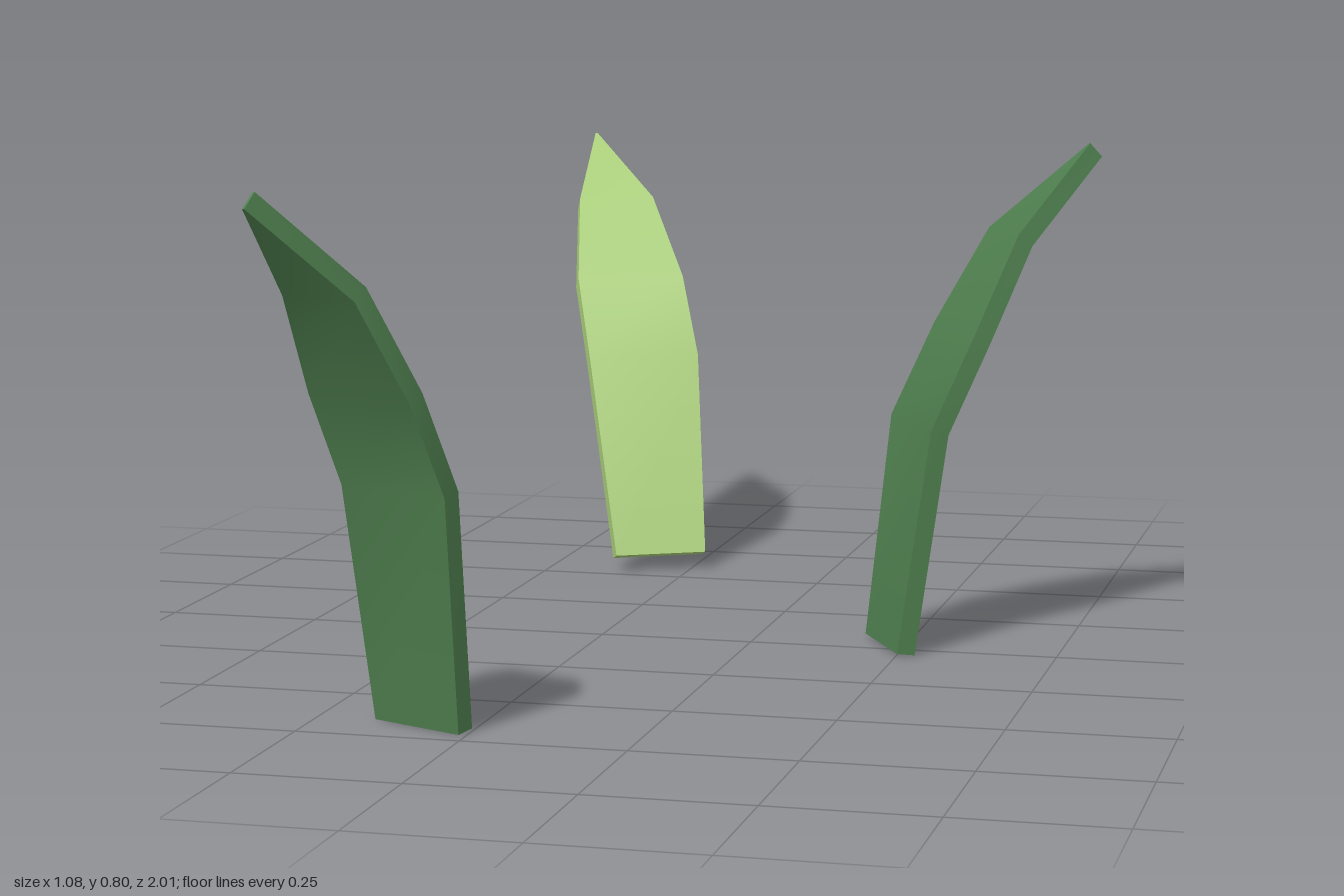
import * as THREE from 'three';

// Stations along a blade: [outward bend, height, width, sideways drift]
const STATIONS = [
  [0, 0, 0.163, 0],
  [0.05, 0.358, 0.2, 0.005],
  [0.123, 0.507, 0.195, 0.008],
  [0.207, 0.662, 0.138, 0.011],
  [0.354, 0.8, 0.004, 0.014],
];
const THICKNESS = 0.03;

// Curved, pointed blade bending towards +z, with crisp long edges
function bladeGeometry() {
  const rings = STATIONS.map(([z, y, w, drift], i) => {
    const prev = STATIONS[Math.max(i - 1, 0)];
    const next = STATIONS[Math.min(i + 1, STATIONS.length - 1)];
    const tangent = new THREE.Vector2(next[0] - prev[0], next[1] - prev[1]).normalize();
    const zOut = z + tangent.y * THICKNESS;
    const yOut = y - tangent.x * THICKNESS;
    const l = drift - w / 2, r = drift + w / 2;
    return [[l, y, z], [l, yOut, zOut], [r, yOut, zOut], [r, y, z]];
  });

  const positions = [], indices = [];
  // One strip per side: smooth along its length, sharp against its neighbours
  for (let side = 0; side < 4; side++) {
    const start = positions.length / 3;
    rings.forEach((ring) => positions.push(...ring[side], ...ring[(side + 1) % 4]));
    for (let i = 0; i < rings.length - 1; i++) {
      const p = start + i * 2;
      indices.push(p, p + 1, p + 3, p, p + 3, p + 2);
    }
  }
  // Base and tip caps
  const caps = [[...rings[0]].reverse(), rings[rings.length - 1]];
  for (const cap of caps) {
    const s = positions.length / 3;
    cap.forEach((corner) => positions.push(...corner));
    indices.push(s, s + 1, s + 2, s, s + 2, s + 3);
  }

  const geometry = new THREE.BufferGeometry();
  geometry.setAttribute('position', new THREE.Float32BufferAttribute(positions, 3));
  geometry.setIndex(indices);
  geometry.computeVertexNormals();
  return geometry;
}

export function createModel() {
  const darkGreen = new THREE.MeshStandardMaterial({ color: 0x4f7f4f });
  darkGreen.name = 'dark green';
  const lightGreen = new THREE.MeshStandardMaterial({ color: 0xabd07b });
  lightGreen.name = 'light green';

  const group = new THREE.Group();
  group.name = 'leaves';
  const geometry = bladeGeometry();

  // Place a leaf by its base, the direction it bends towards, and its extra lean
  function addLeaf(name, material, base, outX, outZ, lean) {
    const leaf = new THREE.Mesh(geometry, material);
    leaf.name = name;
    leaf.position.set(...base);
    leaf.rotation.set(lean, Math.atan2(outX, outZ), 0, 'YXZ');
    group.add(leaf);
  }

  addLeaf('frontLeaf', darkGreen, [-0.325, 0.005, 0.657], -0.4, 0.92, 0);
  addLeaf('leftLeaf', darkGreen, [0.212, 0.005, -0.018], 0.87, -0.49, 0);
  addLeaf('backLeaf', lightGreen, [-0.298, 0.031, -0.553], -0.46, -0.89, 0.183);
  return group;
}
